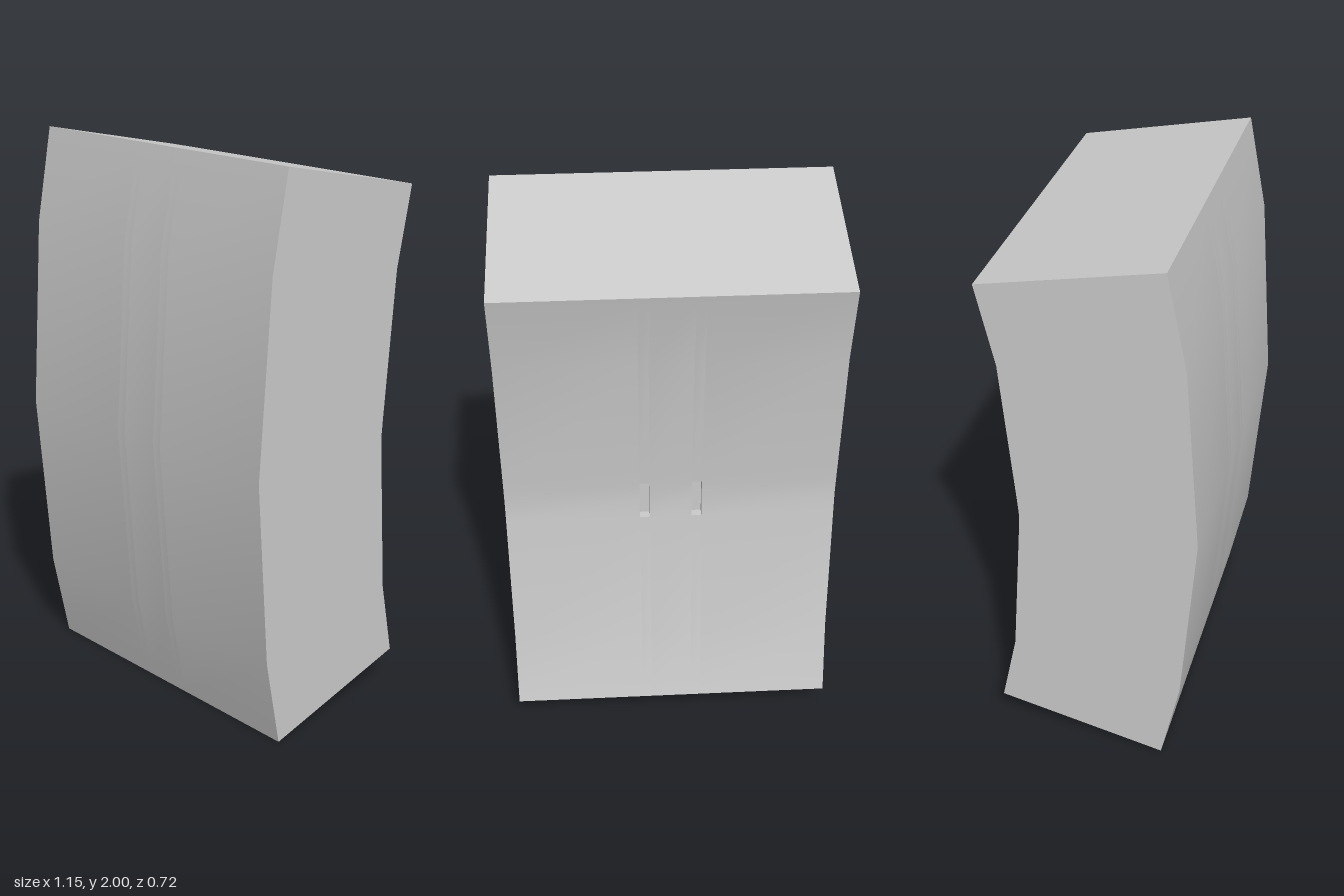
import * as THREE from 'three';
import { toCreasedNormals } from 'three/addons/utils/BufferGeometryUtils.js';

const HALF_WIDTH = 0.575;
const SLOT_INNER = 0.074, SLOT_OUTER = 0.108; // x range of each back slot
const SLOT_BOTTOM = 0.925, SLOT_TOP = 1.075, SLOT_DEPTH = 0.03;

// Side outlines as [z, y], bottom to top for the front, top to bottom for the back
const front = [[0.245, 0], [0.31, 0.33], [0.36, 1], [0.31, 1.67], [0.245, 2]];
const backUpper = [[-0.36, 1.87], [-0.3, 1.59], [-0.26, SLOT_TOP]];
const backLower = [[-0.26, SLOT_BOTTOM], [-0.3, 0.41], [-0.36, 0.13]];
const plainMiddle = [[-0.255, 1]];
const slotMiddle = [[-0.26 + SLOT_DEPTH, SLOT_TOP], [-0.26 + SLOT_DEPTH, SLOT_BOTTOM]];

// One slice of the curved block between two x positions
function slice(x0, x1, slotted, name, material) {
  const outline = [...front, ...backUpper, ...(slotted ? slotMiddle : plainMiddle), ...backLower];
  const shape = new THREE.Shape(outline.map(([z, y]) => new THREE.Vector2(-z, y)));
  const geometry = new THREE.ExtrudeGeometry(shape, { depth: x1 - x0, bevelEnabled: false });
  geometry.rotateY(Math.PI / 2).translate(x0, 0, 0);
  const mesh = new THREE.Mesh(toCreasedNormals(geometry, 0.5), material);
  mesh.name = name;
  return mesh;
}

export function createModel() {
  const group = new THREE.Group();
  group.name = 'curvedBlock';
  const material = new THREE.MeshStandardMaterial({ color: 0xcccccc });

  // Plain centre, then a slotted strip and a plain outer part on each side
  group.add(slice(-SLOT_INNER, SLOT_INNER, false, 'bodyCentre', material));
  for (const [side, s] of [['left', 1], ['right', -1]]) {
    const add = (a, b, slotted, name) =>
      group.add(slice(Math.min(s * a, s * b), Math.max(s * a, s * b), slotted, name, material));
    add(SLOT_INNER, SLOT_OUTER, true, side + 'BackSlot');
    add(SLOT_OUTER, HALF_WIDTH, false, side + 'Body');
  }
  return group;
}
